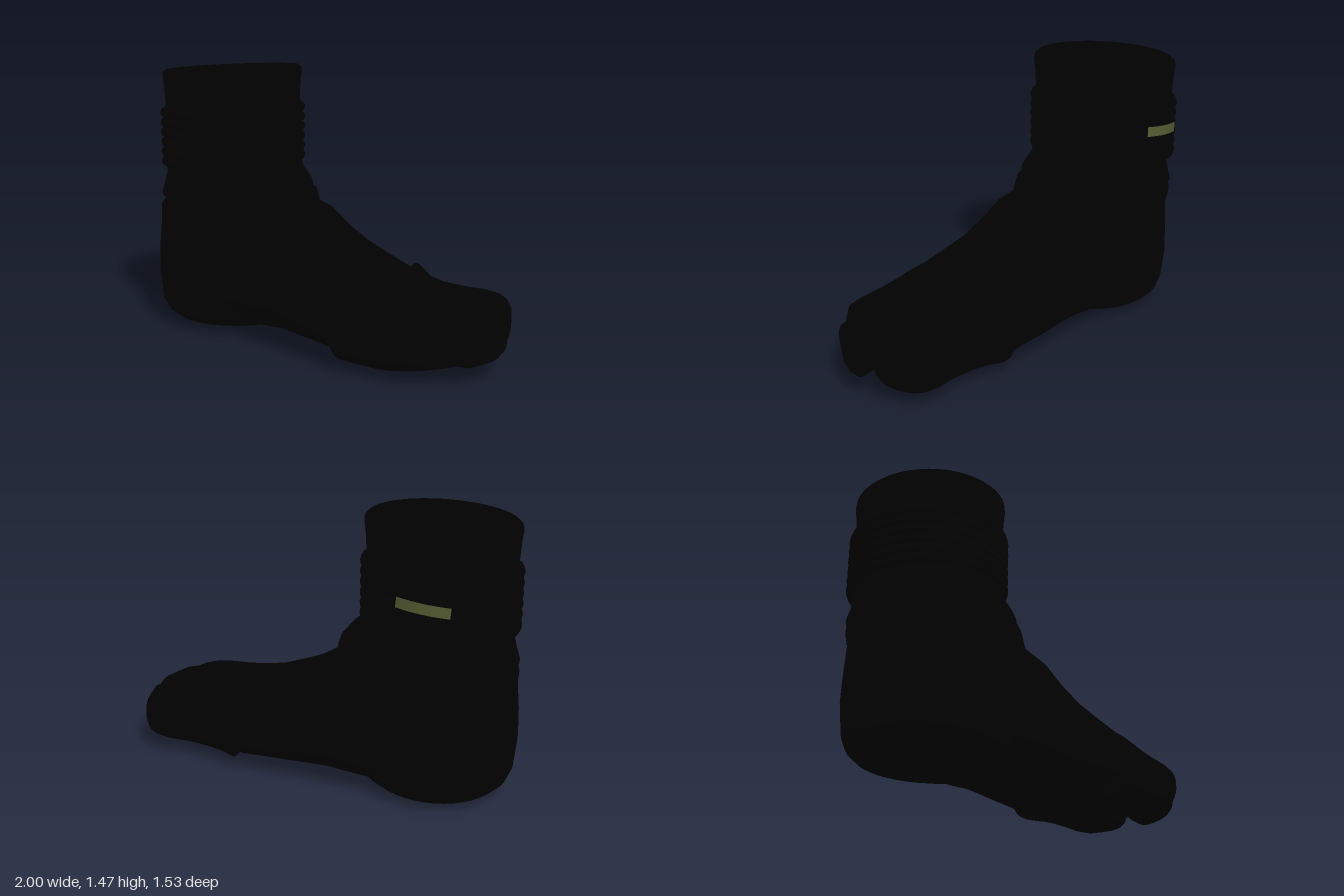
import * as THREE from 'three';

const SEG = 40;

// Skin closed rings of points into a capped solid
function loft(rings) {
  const pos = [], idx = [], n = rings[0].length;
  rings.forEach(r => r.forEach(p => pos.push(...p)));
  for (let i = 0; i < rings.length - 1; i++) {
    for (let j = 0; j < n; j++) {
      const a = i * n + j, b = i * n + (j + 1) % n;
      idx.push(a, a + n, b, b, a + n, b + n);
    }
  }
  [0, rings.length - 1].forEach((k, end) => {
    const c = pos.length / 3;
    pos.push(...[0, 1, 2].map(q => rings[k].reduce((s, p) => s + p[q], 0) / n));
    for (let j = 0; j < n; j++) {
      const a = k * n + j, b = k * n + (j + 1) % n;
      if (end) idx.push(c, b, a); else idx.push(c, a, b);
    }
  });
  const g = new THREE.BufferGeometry();
  g.setAttribute('position', new THREE.Float32BufferAttribute(pos, 3));
  g.setIndex(idx);
  g.computeVertexNormals();
  return g;
}

const pow = (v, e) => Math.sign(v) * Math.abs(v) ** e;
const angles = Array.from({ length: SEG }, (_, j) => (j / SEG) * Math.PI * 2);

// Upright rounded sections along the foot: [s, sideMin, sideMax, bottom, top, skew]
function footLoft(sections, power) {
  return loft(sections.map(([s, t0, t1, y0, y1, skew = 0]) => angles.map(a => {
    const z = pow(Math.cos(a), 2 / power) * (t1 - t0) / 2;
    return [s + skew * z, (y0 + y1) / 2 + pow(Math.sin(a), 2 / power) * (y1 - y0) / 2, (t0 + t1) / 2 + z];
  })));
}

// Level sections up the leg: [y, back, front, halfWidth, sideShift, tilt]
function legLoft(sections) {
  return loft(sections.map(([y, back, front, width, shift, tilt = 0]) => angles.map(a => {
    const x = Math.cos(a) * (Math.cos(a) > 0 ? front : back);
    return [x, y + tilt * x, Math.sin(a) * width + shift];
  })));
}

// Lean the horizontal bands slightly
function lean(g) {
  const p = g.attributes.position;
  for (let i = 0; i < p.count; i++) p.setY(i, p.getY(i) + 0.04 * p.getX(i) + 0.03 * p.getZ(i));
  g.computeVertexNormals();
  return g;
}

export function createModel() {
  const black = new THREE.MeshStandardMaterial({ color: 0x010101 });
  black.name = 'black';
  const olive = new THREE.MeshStandardMaterial({ color: 0x555b33 });
  olive.name = 'olive';

  const model = new THREE.Group();
  model.name = 'splitToeBoot';
  const add = (parent, name, geometry, material) => {
    const m = new THREE.Mesh(geometry, material);
    m.name = name;
    parent.add(m);
  };

  // Foot, turned outwards; local x runs from heel to toes
  const foot = new THREE.Group();
  foot.name = 'foot';
  foot.position.set(-0.575, 0, -0.36);
  foot.rotation.y = -0.541;
  model.add(foot);

  // Heel and ankle with a slanted crease
  add(foot, 'heelAndAnkle', legLoft([
    [0, 0.12, 0.15, 0.12, 0.02], [0.012, 0.23, 0.3, 0.23, 0.02], [0.04, 0.325, 0.36, 0.325, 0.02],
    [0.08, 0.37, 0.42, 0.37, 0.025], [0.14, 0.395, 0.44, 0.395, 0.03], [0.3, 0.41, 0.5, 0.41, 0.03],
    [0.45, 0.405, 0.54, 0.405, 0.03], [0.62, 0.392, 0.59, 0.395, 0.025, 0.05],
    [0.7, 0.4, 0.555, 0.4, 0.015, 0.1], [0.725, 0.398, 0.54, 0.4, 0.012, 0.12],
    [0.745, 0.37, 0.515, 0.38, 0.01, 0.12], [0.775, 0.4, 0.5, 0.4, 0.01, 0.12],
    [0.81, 0.385, 0.48, 0.392, 0.01, 0.1], [0.88, 0.365, 0.43, 0.372, 0.005, 0.05],
    [0.95, 0.38, 0.4, 0.38, 0, 0.05],
  ]), black);

  // Instep and ball of the foot
  add(foot, 'instep', footLoft([
    [-0.15, -0.25, 0.25, 0.08, 0.6], [0, -0.34, 0.36, 0.03, 0.7], [0.2, -0.385, 0.4, 0.012, 0.77],
    [0.4, -0.4, 0.405, 0.025, 0.775], [0.52, -0.4, 0.41, 0.035, 0.735],
    [0.62, -0.4, 0.415, 0.035, 0.65], [0.75, -0.4, 0.42, 0.03, 0.57],
    [0.9, -0.4, 0.435, 0.026, 0.505], [1.02, -0.4, 0.45, 0.02, 0.455],
    [1.1, -0.37, 0.44, 0.02, 0.42], [1.19, -0.33, 0.41, 0.03, 0.36],
    [1.24, -0.3, 0.38, 0.06, 0.32],
  ], 2.3), black);

  // Big toe with a slanted seam
  add(foot, 'bigToe', footLoft([
    [1.07, -0.38, 0.0, 0.07, 0.4, 0.28], [1.1, -0.4, 0.02, 0.04, 0.43, 0.28],
    [1.135, -0.385, 0.02, 0.04, 0.415, 0.26], [1.18, -0.36, 0.02, 0.045, 0.382, 0.18],
    [1.26, -0.35, 0.015, 0.05, 0.364, 0.08], [1.37, -0.348, -0.01, 0.055, 0.358],
    [1.51, -0.375, -0.045, 0.065, 0.353, 0.15], [1.6, -0.372, -0.075, 0.075, 0.343, 0.3],
    [1.65, -0.355, -0.09, 0.09, 0.32, 0.36], [1.675, -0.33, -0.11, 0.13, 0.285, 0.36],
  ], 2.8), black);

  // Small toes in one pocket, notched on the outer side
  add(foot, 'smallToes', footLoft([
    [1.0, 0.02, 0.44, 0.06, 0.38], [1.03, -0.01, 0.462, 0.025, 0.405],
    [1.08, -0.01, 0.457, 0.02, 0.4], [1.23, 0.02, 0.44, 0.018, 0.372],
    [1.32, 0.015, 0.432, 0.025, 0.36], [1.45, 0.003, 0.412, 0.05, 0.355],
    [1.53, -0.01, 0.388, 0.07, 0.35], [1.575, -0.022, 0.335, 0.075, 0.345],
    [1.595, -0.028, 0.265, 0.075, 0.34], [1.67, -0.05, 0.262, 0.08, 0.32],
    [1.735, -0.065, 0.14, 0.1, 0.29], [1.765, -0.03, 0.06, 0.14, 0.25],
  ], 2.4), black);

  // Ankle cuff with a thick rim and hollow top
  const ankle = new THREE.Group();
  ankle.name = 'cuffGroup';
  ankle.position.set(-0.567, 0, -0.358);
  model.add(ankle);
  const profile = [
    [0.375, 0.9], [0.385, 0.95], [0.388, 1.2], [0.379, 1.27], [0.384, 1.36], [0.391, 1.42],
    [0.389, 1.443], [0.375, 1.456], [0.33, 1.456], [0.3, 1.442], [0.288, 1.41], [0.28, 1.25], [0.245, 1.11],
  ].map(p => new THREE.Vector2(...p));
  add(ankle, 'cuff', lean(new THREE.LatheGeometry(profile, 48)), black);

  // Stacked folds round the ankle
  for (let i = 0; i < 6; i++) {
    const ring = new THREE.TorusGeometry(0.382, 0.028, 10, 48);
    ring.rotateX(Math.PI / 2);
    ring.translate(0, 0.942 + i * 0.055, 0);
    add(ankle, 'fold' + (i + 1), lean(ring), black);
  }

  // Lining at the bottom of the opening
  const lining = new THREE.CircleGeometry(0.25, 32);
  lining.rotateX(-Math.PI / 2);
  lining.translate(0.004, 1.12, 0.01);
  add(ankle, 'lining', lean(lining), olive);

  // Lining showing through the folds at the back
  const deg = Math.PI / 180;
  const gap = new THREE.CylinderGeometry(0.4125, 0.4125, 0.054, 16, 1, true, 138 * deg, 38 * deg);
  gap.rotateZ(0.08);
  gap.translate(0, 1.1, 0);
  add(ankle, 'liningGap', lean(gap), olive);

  return model;
}
